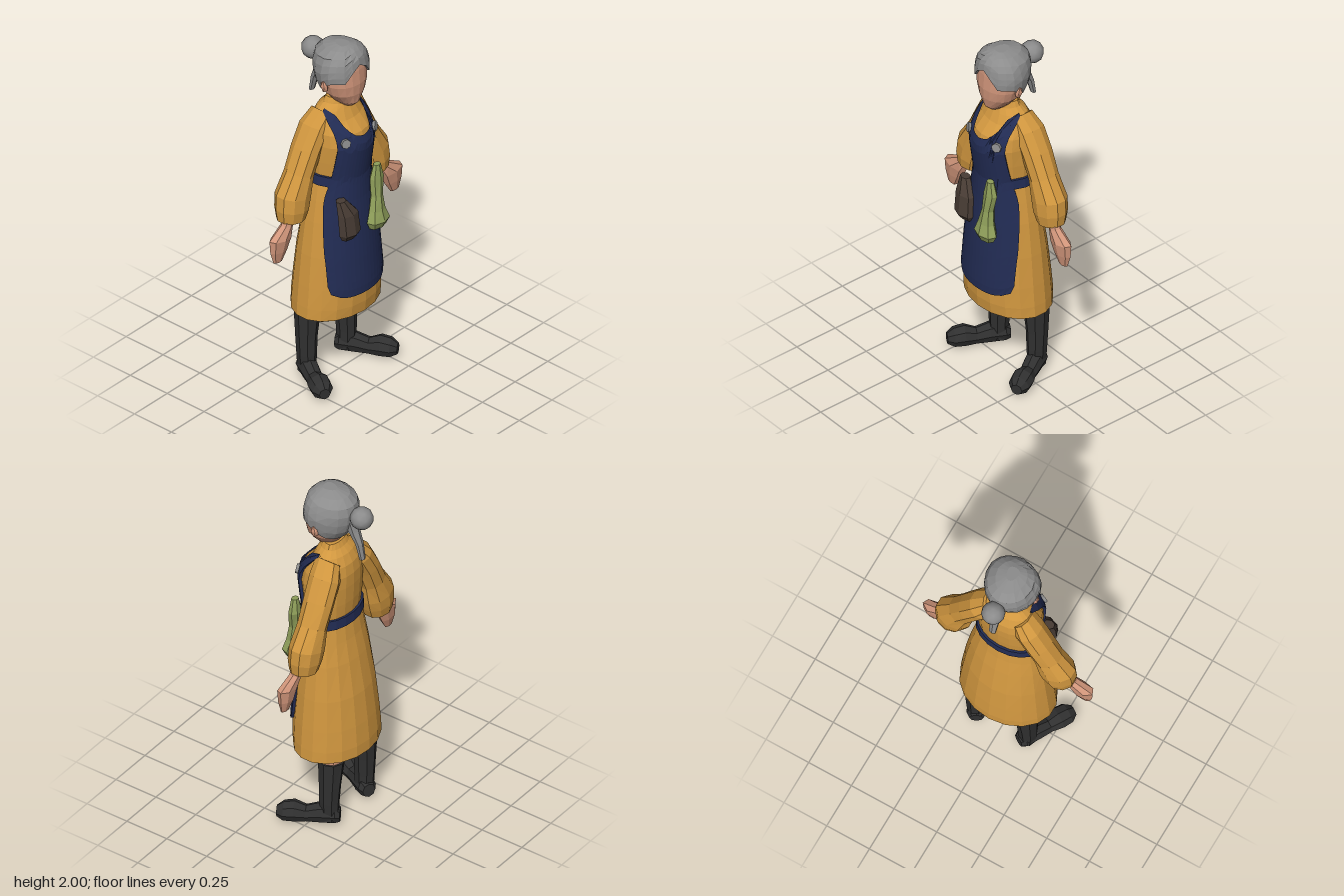
import * as THREE from 'three';

const mat = (name, color, extra = {}) => {
  const m = new THREE.MeshStandardMaterial({ color, ...extra });
  m.name = name;
  return m;
};

// Joins rings of [x,y,z] points, listed bottom to top, into a faceted skin.
function loft(rings, closed = true) {
  const n = rings[0].length, pos = [];
  const tri = (...p) => p.forEach((v) => pos.push(...v));
  for (let i = 0; i < rings.length - 1; i++) {
    for (let j = 0; j < (closed ? n : n - 1); j++) {
      const k = (j + 1) % n, lo = rings[i], hi = rings[i + 1];
      tri(lo[j], lo[k], hi[k]);
      tri(lo[j], hi[k], hi[j]);
    }
  }
  if (closed) {
    const first = rings[0], last = rings[rings.length - 1];
    for (let j = 1; j < n - 1; j++) {
      tri(first[0], first[j + 1], first[j]);
      tri(last[0], last[j], last[j + 1]);
    }
  }
  const g = new THREE.BufferGeometry();
  g.setAttribute('position', new THREE.Float32BufferAttribute(pos, 3));
  g.computeVertexNormals();
  return g;
}

const angles = (n) => Array.from({ length: n }, (_, i) => (i / n) * Math.PI * 2);

// Elliptical ring, tilted in the xy plane.
const ring = (n, [cx, cy, cz, rx, rz, tilt = 0]) => angles(n).map((a) => [
  cx + rx * Math.sin(a) * Math.cos(tilt),
  cy + rx * Math.sin(a) * Math.sin(tilt),
  cz + rz * Math.cos(a),
]);
const tube = (n, rows) => loft(rows.map((r) => ring(n, r)));

// Linear lookup in rows of [key, ...values].
function lookup(rows, key) {
  let i = 0;
  while (i < rows.length - 2 && key > rows[i + 1][0]) i++;
  const a = rows[i], b = rows[i + 1];
  const t = THREE.MathUtils.clamp((key - a[0]) / (b[0] - a[0]), 0, 1);
  return a.slice(1).map((v, k) => v + (b[k + 1] - v) * t);
}

// Rows: height, half width, front z, back z.
const BODY = [
  [0.405, 0.22, 0.13, -0.18], [0.435, 0.265, 0.175, -0.225], [0.5, 0.262, 0.183, -0.225],
  [0.62, 0.252, 0.185, -0.215], [0.8, 0.235, 0.175, -0.195], [1.0, 0.21, 0.16, -0.16],
  [1.12, 0.19, 0.15, -0.135], [1.25, 0.165, 0.145, -0.115], [1.35, 0.172, 0.16, -0.125],
  [1.45, 0.175, 0.175, -0.13], [1.52, 0.17, 0.155, -0.13], [1.58, 0.152, 0.1, -0.12],
  [1.63, 0.122, 0.075, -0.095], [1.66, 0.085, 0.062, -0.065], [1.69, 0.07, 0.06, -0.05],
];
const HEAD = [
  [1.65, 0.03, 0.095, 0.0], [1.68, 0.06, 0.125, -0.03], [1.74, 0.11, 0.138, -0.07],
  [1.8, 0.13, 0.142, -0.11], [1.88, 0.138, 0.135, -0.13], [1.95, 0.115, 0.122, -0.115],
  [1.985, 0.07, 0.09, -0.075], [2.0, 0.02, 0.045, -0.01],
];
// Point on a profiled surface; angle 0 is the front.
function onSurface(rows, c, y, a, off = 0) {
  const [w, zf, zb] = lookup(rows, y);
  const depth = Math.cos(a) > 0 ? zf - c : c - zb;
  return [(w + off) * Math.sin(a), y, c + (depth + off) * Math.cos(a)];
}
const bodyPoint = (y, a, off) => onSurface(BODY, -0.02, y, a, off);
const headPoint = (y, a, off) => onSurface(HEAD, 0.035, y, a, off);
const bodyAngle = (x, y) => Math.asin(THREE.MathUtils.clamp(x / lookup(BODY, y)[0], -0.98, 0.98));

// Bib apron lying on the dress, with a scooped neck and tucked edges.
function apronGeometry() {
  const width = [[0.56, 0.175], [0.63, 0.2], [0.85, 0.198], [1.0, 0.188], [1.14, 0.17], [1.25, 0.14], [1.5, 0.13], [1.64, 0.125]];
  const top = [[0, 1.505], [0.35, 1.515], [0.58, 1.55], [0.7, 1.62], [0.85, 1.645], [1, 1.635]];
  const half = [0.12, 0.25, 0.38, 0.5, 0.6, 0.7, 0.85, 1];
  const us = [-1, ...[...half].reverse().map((u) => -u), 0, ...half, 1];
  const rows = [];
  for (let r = -1; r <= 22; r++) {
    const t = Math.max(r, 0) / 22;
    rows.push(us.map((u, i) => {
      const y = THREE.MathUtils.lerp(0.568 + 0.035 * u ** 6, lookup(top, Math.abs(u))[0], t);
      const tucked = r < 0 || i === 0 || i === us.length - 1;
      return bodyPoint(y, bodyAngle(u * lookup(width, y)[0], y), tucked ? -0.012 : 0.013);
    }));
  }
  return loft(rows, false);
}

// Hair cap: from a varying hairline up to the crown.
function hairGeometry() {
  const line = [[0, 1.915], [0.3, 1.895], [0.6, 1.83], [1.1, 1.835], [1.5, 1.82], [1.9, 1.765], [2.5, 1.745], [3.15, 1.74]];
  const steps = [[0, -0.012], [0, 0.012], [0.2, 0.012], [0.4, 0.012], [0.6, 0.012], [0.78, 0.012], [0.93, 0.012], [1, 0.012]];
  return loft(steps.map(([t, off]) => angles(18).map((a) => {
    const from = lookup(line, Math.min(a, Math.PI * 2 - a))[0];
    return headPoint(THREE.MathUtils.lerp(from, 2.0, t), a, off);
  })));
}

// Foot: rows of length, half width, half height, centre height.
function footGeometry() {
  const rows = [
    [-0.055, 0.035, 0.04, 0.055], [-0.03, 0.05, 0.058, 0.064], [0.05, 0.05, 0.058, 0.062],
    [0.12, 0.045, 0.045, 0.05], [0.18, 0.06, 0.058, 0.06], [0.235, 0.056, 0.052, 0.055], [0.27, 0.03, 0.03, 0.05],
  ];
  const g = tube(8, rows.map(([l, w, h, c]) => [0, l, -c, w, h]));
  return g.rotateX(Math.PI / 2).rotateY(0.5).translate(0.15, 0, -0.085);
}

export function createModel() {
  const model = new THREE.Group();
  model.name = 'apronedWoman';
  const dress = mat('ochre cloth', 0xd1973f);
  const blue = mat('navy cloth', 0x222c54, { side: THREE.DoubleSide });
  const skin = mat('skin', 0xd0957a);
  const grey = mat('grey hair', 0x8c8c8c);
  const boot = mat('black boot', 0x303030);
  const brown = mat('brown leather', 0x483c34);
  const green = mat('green cloth', 0x8f9f5a);
  const add = (name, geometry, material, parent = model) => {
    const mesh = new THREE.Mesh(geometry, material);
    mesh.name = name;
    parent.add(mesh);
    return mesh;
  };

  // Clothing
  add('dress', loft(BODY.map(([y]) => angles(18).map((a) => bodyPoint(y, a)))), dress);
  add('apron', apronGeometry(), blue);
  add('belt', loft([[1.215, -0.01], [1.215, 0.012], [1.27, 0.012], [1.27, -0.01]]
    .map(([y, off]) => [...angles(18), 0].map((a) => bodyPoint(y, a, off))), false), blue);
  for (const s of [-1, 1]) {
    const button = add('apronButton', new THREE.CylinderGeometry(0.026, 0.026, 0.016, 7).rotateX(Math.PI / 2), grey);
    button.position.set(...bodyPoint(1.49, bodyAngle(s * 0.1, 1.49), 0.018));
    button.rotation.set(-0.2, s * 0.45, 0);
  }

  // Things hung on the belt
  add('pouch', tube(7, [
    [-0.11, 0.93, 0.165, 0.05, 0.025], [-0.11, 0.965, 0.17, 0.068, 0.045],
    [-0.115, 1.08, 0.16, 0.065, 0.042], [-0.145, 1.16, 0.14, 0.03, 0.025],
  ]), brown);
  add('herbBundle', tube(7, [
    [0.08, 0.92, 0.19, 0.055, 0.03], [0.082, 0.96, 0.192, 0.074, 0.048], [0.08, 1.02, 0.185, 0.05, 0.038],
    [0.085, 1.1, 0.178, 0.034, 0.032], [0.095, 1.2, 0.17, 0.044, 0.03], [0.095, 1.28, 0.172, 0.022, 0.018],
  ]), green);

  // Head
  add('head', loft(HEAD.slice(0, 6).map(([y]) => angles(18).map((a) => headPoint(y, a)))), skin);
  add('neck', tube(8, [[0, 1.6, 0.01, 0.055, 0.05], [0, 1.74, 0.02, 0.055, 0.055]]), skin);
  add('hair', hairGeometry(), grey);
  const bun = add('hairBun', new THREE.IcosahedronGeometry(0.062, 1), grey);
  bun.position.set(0, 1.885, -0.177);
  add('hairTail', tube(6, [
    [0, 1.63, -0.183, 0.02, 0.013], [0, 1.72, -0.163, 0.026, 0.018],
    [0, 1.79, -0.13, 0.035, 0.028], [0, 1.85, -0.11, 0.04, 0.035],
  ]), grey);

  // Limbs, built on the left and mirrored
  for (const s of [1, -1]) {
    const side = new THREE.Group();
    side.name = s > 0 ? 'leftLimbs' : 'rightLimbs';
    side.scale.x = s;
    model.add(side);
    add('sleeve', tube(10, [
      [0.325, 1.08, -0.045, 0.05, 0.045, 0.2], [0.318, 1.06, -0.045, 0.08, 0.072, 0.1],
      [0.31, 1.12, -0.047, 0.097, 0.084, 0.15], [0.297, 1.19, -0.05, 0.105, 0.086, 0.25],
      [0.25, 1.3, -0.05, 0.078, 0.078, 0.4], [0.195, 1.42, -0.05, 0.074, 0.083, 0.45],
      [0.135, 1.53, -0.045, 0.074, 0.085, 0.5], [0.085, 1.6, -0.03, 0.06, 0.07, 0.7],
    ]), dress, side);
    add('hand', tube(7, [
      [0.447, 0.868, -0.02, 0.03, 0.014, 0.1], [0.437, 0.93, -0.022, 0.058, 0.03, 0.1],
      [0.425, 0.995, -0.022, 0.075, 0.038, 0.15], [0.37, 1.045, -0.028, 0.036, 0.03, 0.4],
      [0.335, 1.11, -0.035, 0.035, 0.03, 0.3],
    ]), skin, side);
    const ear = add('ear', new THREE.IcosahedronGeometry(0.03, 0), skin, side);
    ear.scale.set(0.6, 1.3, 0.8);
    ear.position.set(0.135, 1.8, 0.02);
    add('bootShaft', tube(8, [
      [0.15, 0.03, -0.085, 0.045, 0.05], [0.152, 0.14, -0.085, 0.05, 0.055],
      [0.15, 0.25, -0.088, 0.055, 0.06], [0.14, 0.4, -0.09, 0.07, 0.07],
    ]), boot, side);
    add('foot', footGeometry(), boot, side);
    add('knee', tube(8, [[0.14, 0.39, -0.09, 0.06, 0.06], [0.14, 0.45, -0.09, 0.06, 0.06]]), skin, side);
  }
  return model;
}
